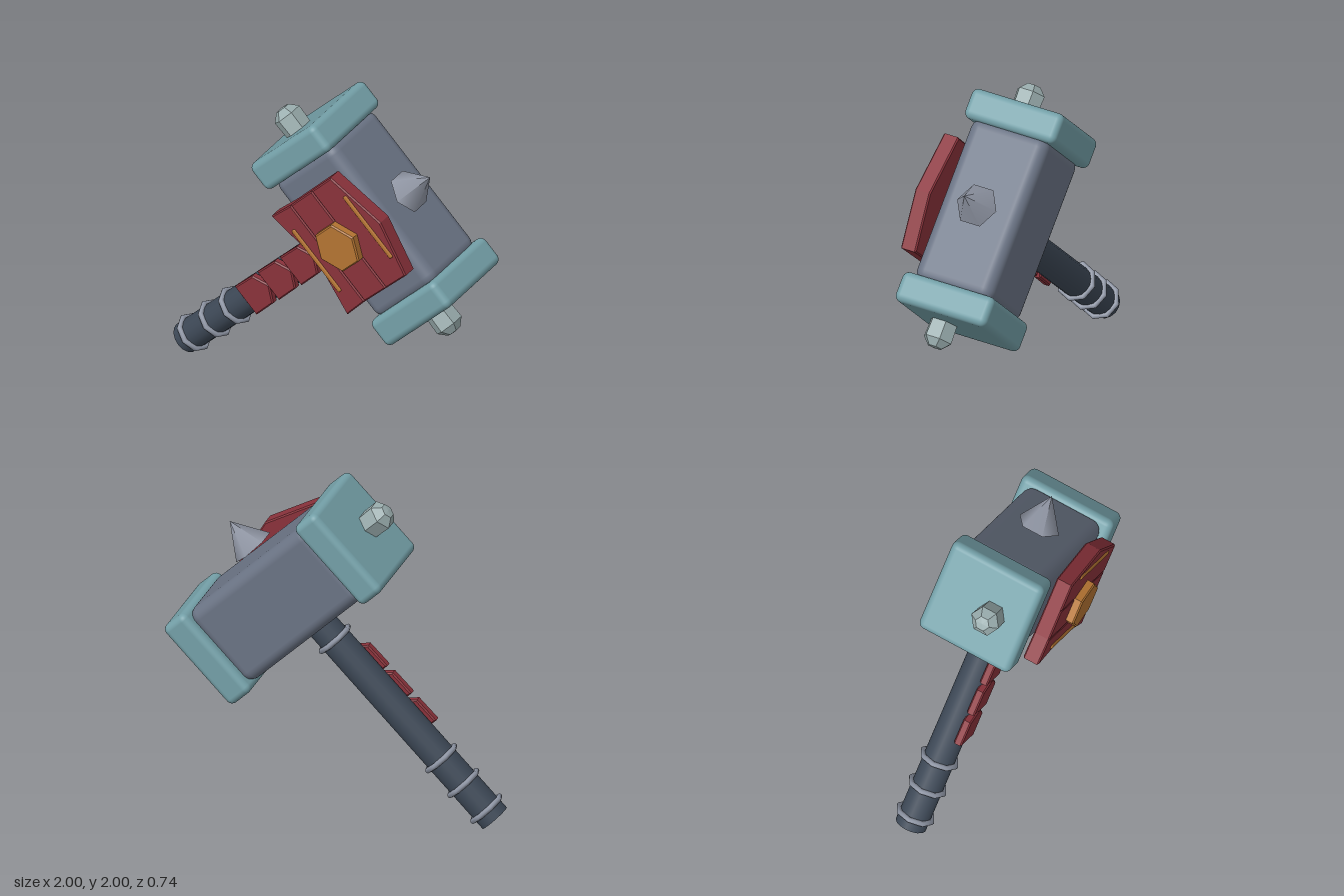
import * as THREE from 'three';
import { RoundedBoxGeometry } from 'three/addons/geometries/RoundedBoxGeometry.js';

const mat = (color, flatShading = false) => new THREE.MeshStandardMaterial({ color, flatShading });
const steel = mat(0x6b7485), teal = mat(0x74a0a8), grip = mat(0x3d4856), red = mat(0x8a323b);
const gold = mat(0xb47432), ringMetal = mat(0x8d94a3), spikeMetal = mat(0x8d93a1), gem = mat(0x9aadae, true);

const AXIS_Z = -0.068; // depth of the handle and head axis

export function createModel() {
  const model = new THREE.Group();
  model.name = 'warHammer';

  // Upright hammer, head centred on the origin, leaned 45 degrees
  const hammer = new THREE.Group();
  hammer.name = 'hammer';
  hammer.position.set(0.335, 1.34, 0);
  hammer.rotation.z = -Math.PI / 4;
  model.add(hammer);

  const add = (name, geometry, material, x = 0, y = 0, z = AXIS_Z) => {
    const mesh = new THREE.Mesh(geometry, material);
    mesh.name = name;
    mesh.position.set(x, y, z);
    hammer.add(mesh);
    return mesh;
  };

  // Flat plate with a small bevel, filling the outline from z0 to z1
  const plate = (name, points, z0, z1, material, y = 0) => {
    const b = 0.008;
    const shape = new THREE.Shape(points.map(([px, py]) => new THREE.Vector2(px, py)));
    const geometry = new THREE.ExtrudeGeometry(shape, {
      depth: z1 - z0 - 2 * b, bevelThickness: b, bevelSize: b, bevelOffset: -b, bevelSegments: 1,
    });
    return add(name, geometry, material, 0, y, z0 + b);
  };

  // Head block and its two end caps
  add('headBlock', new RoundedBoxGeometry(1.02, 0.55, 0.51, 4, 0.07), steel);
  for (const side of [-1, 1]) {
    add('endCap', new RoundedBoxGeometry(0.184, 0.605, 0.605, 4, 0.04), teal, side * 0.571);

    // Hexagonal stud with a shallow faceted tip
    const profile = [[0, 0], [0.085, 0], [0.09, 0.14], [0.045, 0.185], [0, 0.19]];
    const stud = add('endStud', new THREE.LatheGeometry(profile.map(([r, h]) => new THREE.Vector2(r, h)), 6),
      gem, side * 0.63, 0, 0.01);
    stud.rotation.z = -side * Math.PI / 2;
  }

  // Spike above the head
  const spike = new THREE.ConeGeometry(0.13, 0.205, 6);
  add('topSpike', spike, spikeMetal, 0, 0.42);

  // Front armour: three strips forming one shield
  plate('lowerArmor', [[-0.36, -0.304], [0, -0.235], [0.36, -0.304], [0.352, -0.128], [-0.352, -0.128]], 0.22, 0.32, red);
  plate('middleArmor', [[-0.352, -0.128], [0.352, -0.128], [0.355, 0.072], [-0.355, 0.072]], 0.22, 0.32, red);
  plate('upperArmor', [[-0.355, 0.072], [0.355, 0.072], [0.358, 0.255], [0.02, 0.352], [-0.358, 0.255]], 0.22, 0.32, red);

  // Gold trim and hexagonal boss
  for (const y of [-0.23, 0.257]) {
    add('goldBar', new RoundedBoxGeometry(0.45, 0.03, 0.03, 2, 0.01), gold, 0, y, 0.314);
  }
  const hexagon = Array.from({ length: 6 }, (_, i) => {
    const a = Math.PI / 2 + i * Math.PI / 3;
    return [0.153 * Math.cos(a), 0.153 * Math.sin(a)];
  });
  plate('goldBoss', hexagon, 0.31, 0.37, gold);

  // Handle with metal rings
  add('handle', new THREE.CylinderGeometry(0.095, 0.095, 1.54, 16), grip, 0, -1.02);
  for (const y of [-0.395, -1.324, -1.517, -1.717]) {
    const ring = add('handleRing', new THREE.TorusGeometry(0.106, 0.017, 8, 8), ringMetal, 0, y);
    ring.rotation.x = Math.PI / 2;
  }

  // Overlapping pointed scales on the handle
  const scale = [[-0.103, -0.083], [0.103, -0.083], [0.1, 0.08], [0, 0.143], [-0.1, 0.08]];
  for (const y of [-0.633, -0.845, -1.058]) plate('handleScale', scale, -0.008, 0.042, red, y);

  return model;
}
